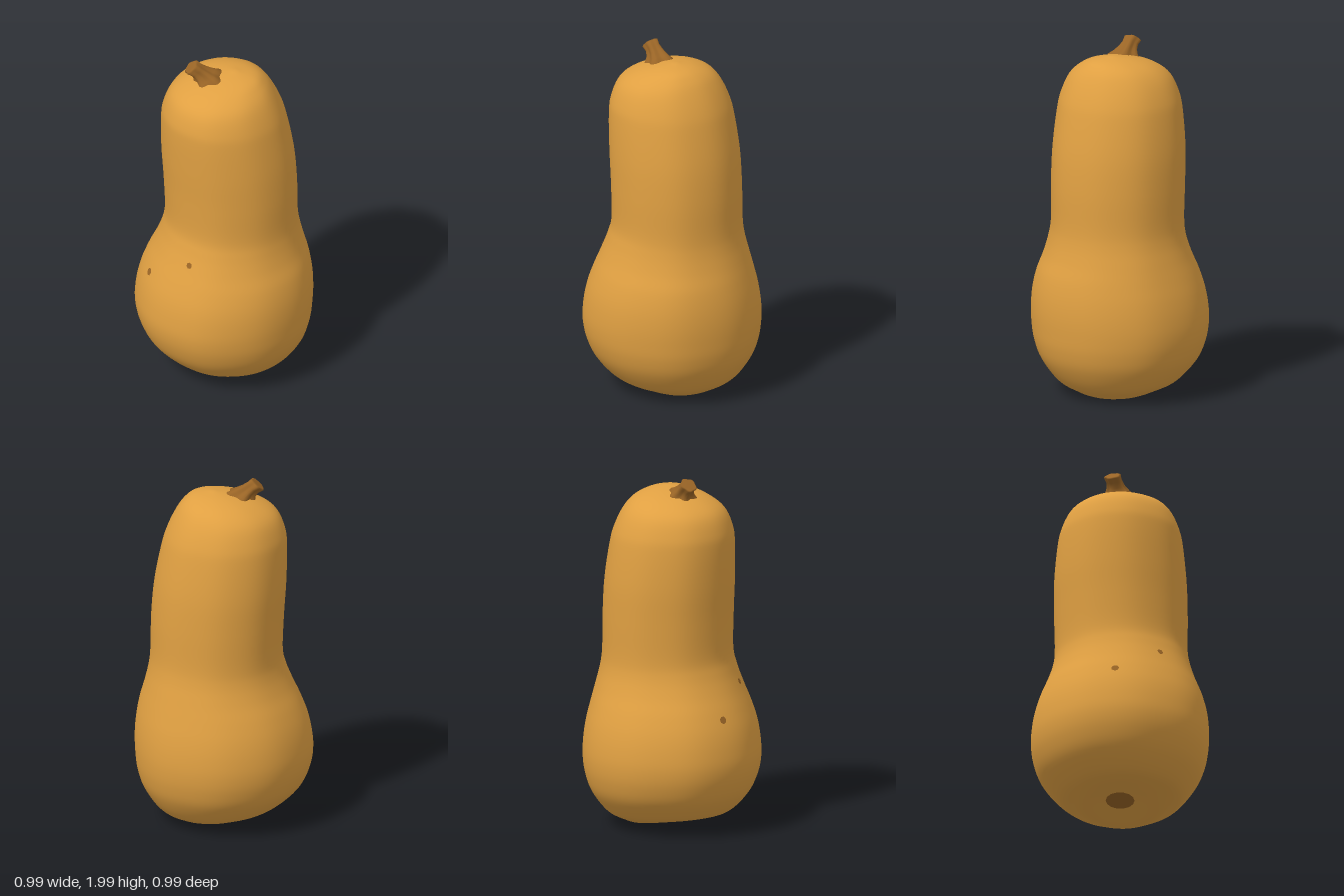
import * as THREE from 'three';
import { mergeVertices } from 'three/addons/utils/BufferGeometryUtils.js';

// Skin stacked rings (bottom to top, counter-clockwise from above) into a surface.
function loft(rings) {
  const n = rings[0].length, pos = [], idx = [];
  rings.forEach(r => r.forEach(p => pos.push(p.x, p.y, p.z)));
  for (let i = 0; i < rings.length - 1; i++) {
    for (let j = 0; j < n; j++) {
      const k = (j + 1) % n, a = i * n + j, b = i * n + k;
      idx.push(a, b, b + n, a, b + n, a + n);
    }
  }
  const g = new THREE.BufferGeometry();
  g.setAttribute('position', new THREE.Float32BufferAttribute(pos, 3));
  g.setIndex(idx);
  const merged = mergeVertices(g, 1e-5);
  merged.computeVertexNormals();
  return merged;
}

// Body outline: height, xMin, xMax, zMin, zMax, tilt of the ring
const ROWS = [
  [0.055, -0.02, -0.02, 0.03, 0.03, 1],
  [0.05, -0.09, 0.06, -0.06, 0.10, 1],
  [0.036, -0.19, 0.20, -0.19, 0.18, 1],
  [0.058, -0.26, 0.29, -0.29, 0.27, 0.45],
  [0.10, -0.335, 0.365, -0.375, 0.345, 0.15],
  [0.20, -0.43, 0.44, -0.45, 0.43, 0],
  [0.30, -0.477, 0.475, -0.483, 0.477, 0],
  [0.40, -0.495, 0.488, -0.495, 0.496, 0],
  [0.50, -0.490, 0.492, -0.492, 0.490, 0],
  [0.60, -0.470, 0.485, -0.478, 0.470, 0],
  [0.70, -0.435, 0.465, -0.455, 0.435, 0],
  [0.80, -0.390, 0.430, -0.430, 0.393, 0],
  [0.90, -0.357, 0.405, -0.406, 0.355, 0],
  [1.00, -0.346, 0.394, -0.394, 0.332, 0],
  [1.20, -0.353, 0.393, -0.390, 0.335, 0],
  [1.40, -0.360, 0.380, -0.377, 0.345, 0],
  [1.60, -0.352, 0.348, -0.345, 0.350, 0],
  [1.70, -0.335, 0.322, -0.318, 0.340, 0],
  [1.80, -0.288, 0.277, -0.270, 0.295, 0],
  [1.865, -0.200, 0.225, -0.215, 0.200, 0],
  [1.905, -0.080, 0.165, -0.135, 0.080, 0],
  [1.925, 0.05, 0.05, -0.03, -0.03, 0],
];
const spline = f => new THREE.CatmullRomCurve3(ROWS.map(f), false, 'catmullrom', 0.5);
const centres = spline(r => new THREE.Vector3((r[1] + r[2]) / 2, r[0], (r[3] + r[4]) / 2));
const sizes = spline(r => new THREE.Vector3((r[2] - r[1]) / 2, r[5], (r[4] - r[3]) / 2));

// Point on the skin at spline position t and angle a
function skin(t, a) {
  const c = centres.getPoint(t), s = sizes.getPoint(t);
  const wobble = 1 + 0.004 * Math.sin(5 * a + 1) + 0.003 * Math.sin(9 * a);
  const x = c.x + s.x * wobble * Math.cos(a), z = c.z - s.z * wobble * Math.sin(a);
  return new THREE.Vector3(x, Math.max(0, c.y + s.y * (0.14 * z - 0.1 * x)), z);
}

function skinNormal(t, a) {
  const p = skin(t, a), e = 0.005;
  return skin(t, a + e).sub(p).cross(skin(t + e, a).sub(p)).normalize();
}

// Flat irregular patch lying on the skin
function patch(name, position, normal, radius, sides, material) {
  const m = new THREE.Mesh(new THREE.CircleGeometry(radius, sides), material);
  m.name = name;
  m.position.copy(position).addScaledVector(normal, 0.004);
  m.quaternion.setFromUnitVectors(new THREE.Vector3(0, 0, 1), normal);
  return m;
}

export function createModel() {
  const group = new THREE.Group();
  group.name = 'squash';
  const orange = new THREE.MeshStandardMaterial({ color: 0xe0a042 });
  orange.name = 'orange skin';
  const brown = new THREE.MeshStandardMaterial({ color: 0x9a6526 });
  brown.name = 'brown stem';

  // Body
  const rings = [], levels = 105, around = 72;
  for (let i = 0; i <= levels; i++) {
    rings.push(Array.from({ length: around }, (_, j) => skin(i / levels, j / around * Math.PI * 2)));
  }
  const body = new THREE.Mesh(loft(rings), orange);
  body.name = 'body';
  group.add(body);

  // Stem: ribbed flare bending towards the front right
  // centre x, y, z, radius, lean, rib depth
  const sections = [
    [-0.058, 1.850, 0.080, 0.094, 0.25, 0.08],
    [-0.060, 1.882, 0.082, 0.084, 0.25, 0.13],
    [-0.072, 1.900, 0.090, 0.062, 0.30, 0.16],
    [-0.090, 1.922, 0.102, 0.047, 0.42, 0.14],
    [-0.110, 1.945, 0.118, 0.041, 0.50, 0.10],
    [-0.130, 1.964, 0.134, 0.046, 0.52, 0.08],
    [-0.134, 1.968, 0.138, 0.038, 0.52, 0.06],
    [-0.129, 1.963, 0.133, 0, 0.52, 0],
  ];
  const up = new THREE.Vector3(0, 1, 0);
  const stemRings = sections.map(([x, y, z, r, lean, rib]) => {
    const q = new THREE.Quaternion().setFromUnitVectors(up, new THREE.Vector3(-lean, 0.8, lean).normalize());
    return Array.from({ length: 30 }, (_, j) => {
      const a = j / 30 * Math.PI * 2, rr = r * (1 + rib * Math.cos(5 * a + 0.6));
      return new THREE.Vector3(rr * Math.cos(a), 0, -rr * Math.sin(a)).applyQuaternion(q).add(new THREE.Vector3(x, y, z));
    });
  });
  const stem = new THREE.Mesh(loft(stemRings), brown);
  stem.name = 'stem';
  group.add(stem);

  // Small blemishes on the front of the bulb: height row, angle, radius
  for (const [row, a, r] of [[11.3, -1.55, 0.018], [9.7, -2.18, 0.022]]) {
    const t = row / (ROWS.length - 1);
    group.add(patch('blemish', skin(t, a), skinNormal(t, a), r, 7, brown));
  }

  // Blossom scar in the hollow underneath
  const down = new THREE.Vector3(-0.1, -1, 0.14).normalize();
  group.add(patch('blossomScar', new THREE.Vector3(-0.02, 0.055, 0.03), down, 0.08, 14, brown));
  return group;
}
